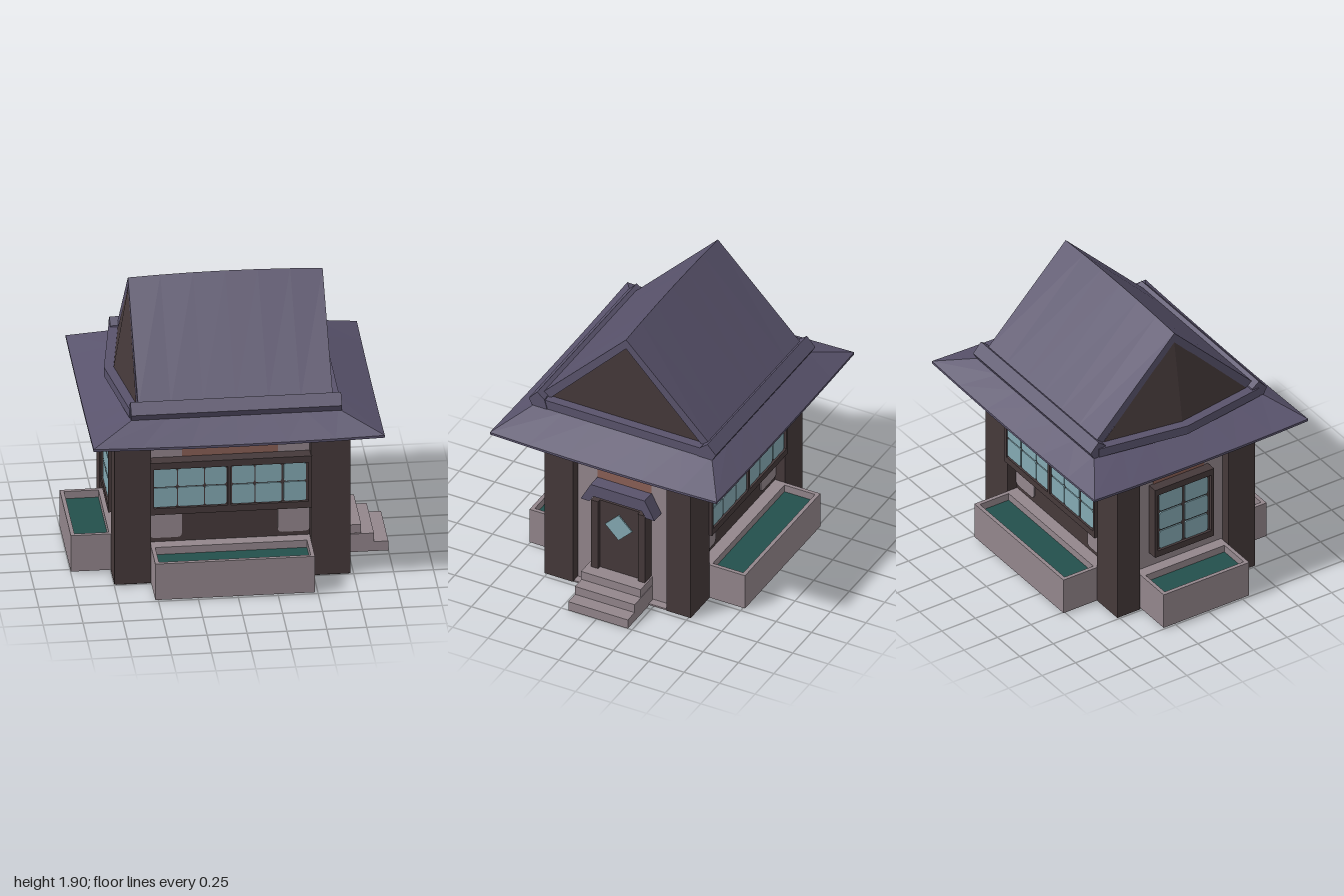
import * as THREE from 'three';

const mat = (name, color) => {
  const m = new THREE.MeshStandardMaterial({ color, flatShading: true });
  m.name = name;
  return m;
};

export function createModel() {
  const root = new THREE.Group();
  root.name = 'house';
  const timber = mat('dark timber', 0x45393a);
  const plaster = mat('pale plaster', 0x93868c);
  const brick = mat('clay panel', 0x8a6056);
  const roofing = mat('roof purple', 0x59536c);
  const glass = mat('window glass', 0x84a9b3);
  const soil = mat('planter green', 0x23504c);

  const add = (parent, name, geo, material) => {
    const m = new THREE.Mesh(geo, material);
    m.name = name;
    parent.add(m);
    return m;
  };
  // Box given by its limits on each axis
  const box = (parent, name, material, x0, x1, y0, y1, z0, z1) => {
    const g = new THREE.BoxGeometry(x1 - x0, y1 - y0, z1 - z0);
    g.translate((x0 + x1) / 2, (y0 + y1) / 2, (z0 + z1) / 2);
    return add(parent, name, g, material);
  };
  const polygon = (pts) => new THREE.Shape(pts.map(([x, y]) => new THREE.Vector2(x, y)));
  const extrude = (shape, depth, steps = 1) =>
    new THREE.ExtrudeGeometry(shape, { depth, steps, bevelEnabled: false, curveSegments: 3 });
  // Thin plate with rounded corners, facing +z
  const plate = (parent, name, material, cx, cy, w, h, z, r = 0.015) => {
    const a = w / 2, b = h / 2, s = new THREE.Shape();
    s.moveTo(-a + r, -b);
    s.lineTo(a - r, -b); s.quadraticCurveTo(a, -b, a, -b + r);
    s.lineTo(a, b - r); s.quadraticCurveTo(a, b, a - r, b);
    s.lineTo(-a + r, b); s.quadraticCurveTo(-a, b, -a, b - r);
    s.lineTo(-a, -b + r); s.quadraticCurveTo(-a, -b, -a + r, -b);
    return add(parent, name, extrude(s, 0.008), material).position.set(cx, cy, z);
  };
  // Wall group: local x runs along the wall, local z points outwards
  const wall = (name, x, z, turn) => {
    const g = new THREE.Group();
    g.name = name;
    g.position.set(x, 0, z);
    g.rotation.y = turn;
    root.add(g);
    return g;
  };
  // Framed window with columns given as [left, right] and rows as [bottom, top]
  const windowUnit = (parent, w, y0, y1, depth, cols, rows) => {
    const g = new THREE.Group();
    g.name = 'window';
    parent.add(g);
    const a = w / 2, d = depth, e = depth - 0.018;
    box(g, 'windowBack', timber, -a + 0.005, a - 0.005, y0 + 0.005, y1 - 0.005, -0.01, e);
    box(g, 'topFrame', timber, -a, a, y1 - 0.045, y1, -0.01, d);
    box(g, 'bottomFrame', timber, -a, a, y0, y0 + 0.045, -0.01, d);
    for (const s of [-1, 1])
      box(g, 'sideFrame', timber, s * (a - 0.01) - 0.01, s * (a - 0.01) + 0.01, y0, y1, -0.01, d);
    for (const [l, r] of cols)
      for (const [b, t] of rows)
        plate(g, 'pane', glass, (l + r) / 2, (b + t) / 2, r - l, t - b, e);
    return g;
  };
  // Open planter standing against a wall
  const planter = (parent, w, depth) => {
    const g = new THREE.Group();
    g.name = 'planter';
    parent.add(g);
    const a = w / 2, t = 0.025;
    box(g, 'planterFront', plaster, -a, a, 0.01, 0.26, depth - t, depth);
    box(g, 'planterBack', plaster, -a, a, 0.01, 0.26, 0, 0.08);
    for (const s of [-1, 1])
      box(g, 'planterEnd', plaster, s * (a - t / 2) - t / 2, s * (a - t / 2) + t / 2, 0.01, 0.26, 0.08, depth - t);
    box(g, 'planterSoil', soil, -a + t, a - t, 0.012, 0.21, 0.08, depth - t);
  };

  // Body, floor and corner posts
  box(root, 'floorSlab', plaster, -0.74, 0.72, 0.004, 0.015, -0.51, 0.5);
  box(root, 'wallCore', timber, -0.68, 0.66, 0.012, 1.1, -0.45, 0.44);
  for (const [x0, x1] of [[-0.75, -0.52], [0.48, 0.73]])
    for (const [z0, z1] of [[0.31, 0.51], [-0.52, -0.35]])
      box(root, 'cornerPost', timber, x0, x1, 0.01, 1.1, z0, z1);
  box(root, 'topBeam', timber, -0.745, 0.725, 0.99, 1.1, -0.515, 0.505);

  // Long walls, front and back
  const longCols = [[-0.49, -0.34], [-0.333, -0.17], [-0.163, -0.03], [0.005, 0.145], [0.152, 0.315], [0.33, 0.47]];
  for (const [name, z, turn, depth] of [['frontWall', 0.44, 0, 0.31], ['backWall', -0.45, Math.PI, 0.32]]) {
    const g = wall(name, -0.02, z, turn);
    for (const s of [-1, 1])
      plate(g, 'plasterPanel', plaster, s * 0.4, 0.64, 0.2, 0.7, 0, 0.03);
    box(g, 'clayPanel', brick, -0.3, 0.3, 0.8, 0.99, -0.005, 0.007);
    const win = windowUnit(g, 1.01, 0.49, 0.85, 0.09, longCols, [[0.54, 0.672], [0.68, 0.8]]);
    box(win, 'centreFrame', timber, -0.022, -0.003, 0.49, 0.85, 0, 0.09);
    planter(g, 1, depth);
  }

  // Short walls share plaster and clay panels
  const doorWall = wall('doorWall', 0.66, -0.02, Math.PI / 2);
  const leftWall = wall('leftWall', -0.68, -0.02, -Math.PI / 2);
  for (const g of [doorWall, leftWall]) {
    box(g, 'plasterPanel', plaster, -0.33, 0.33, 0.012, 0.99, -0.005, 0.006);
    box(g, 'clayPanel', brick, -0.19, 0.19, 0.75, 0.99, 0, 0.01);
  }
  windowUnit(leftWall, 0.44, 0.36, 0.87, 0.075,
    [[-0.18, -0.01], [0.01, 0.18]], [[0.41, 0.54], [0.55, 0.68], [0.69, 0.82]]);
  planter(leftWall, 0.64, 0.32);

  // Door with jambs, diamond pane and small awning
  for (const s of [-1, 1])
    box(doorWall, 'doorJamb', timber, s * 0.165 - 0.025, s * 0.165 + 0.025, 0.15, 0.7, 0, 0.095);
  box(doorWall, 'door', timber, -0.14, 0.14, 0.15, 0.7, 0, 0.07);
  const diamond = polygon([[0, -0.095], [0.095, 0], [0, 0.095], [-0.095, 0]]);
  add(doorWall, 'doorPane', extrude(diamond, 0.008), glass).position.set(-0.005, 0.535, 0.07);
  const awning = polygon([[-0.26, 0.69], [-0.2, 0.69], [-0.17, 0.735], [0.17, 0.735], [0.2, 0.69], [0.26, 0.69], [0.19, 0.82], [-0.19, 0.82]]);
  add(doorWall, 'awning', extrude(awning, 0.1), roofing);

  // Entrance steps
  [[0.83, 0.19, 0.13], [0.91, 0.125, 0.065], [1, 0.065, 0]].forEach(([x, top, low]) =>
    box(root, 'step', plaster, 0.67, x, low, top, -0.22, 0.2));

  // Flared lower roof: a box pulled in at the top, eaves dipping mid-side
  const skirt = new THREE.BoxGeometry(2, 2, 2, 6, 2, 6);
  const p = skirt.attributes.position;
  for (let i = 0; i < p.count; i++) {
    const x = p.getX(i), y = p.getY(i), z = p.getZ(i);
    const top = y > 0.5;
    const dip = 0.014 * (1 - Math.min(Math.abs(x), Math.abs(z)) ** 2);
    p.setXYZ(i, x * (top ? 0.64 : 0.912), top ? 1.215 : (y < -0.5 ? 1.088 : 1.104) - dip, z * (top ? 0.62 : 0.8));
  }
  add(root, 'lowerRoof', skirt, roofing);

  // Upper gable roof, ridge slightly raised in the middle
  const chevron = polygon([[-0.6, 1.28], [-0.53, 1.27], [0, 1.82], [0.53, 1.27], [0.6, 1.28], [0, 1.888]]);
  const gable = extrude(chevron, 1.22, 6);
  gable.translate(0, 0, -0.61).rotateY(Math.PI / 2);
  const q = gable.attributes.position;
  for (let i = 0; i < q.count; i++)
    if (q.getY(i) > 1.85) q.setY(i, q.getY(i) + 0.016 * (1 - (q.getX(i) / 0.61) ** 2));
  add(root, 'gableRoof', gable, roofing);

  // Upturned eave lips along both long sides
  for (const s of [-1, 1]) {
    const lip = polygon([[0.53, 1.21], [0.635, 1.21], [0.66, 1.255], [0.6, 1.32], [0.55, 1.28]].map(([a, b]) => [s * a, b]));
    const g = extrude(lip, 1.32).translate(0, 0, -0.66).rotateY(Math.PI / 2);
    add(root, 'eaveLip', g, roofing);
  }

  // Gable ends: flat on the right, folded outwards on the left
  const tri = (...pts) => {
    const g = new THREE.BufferGeometry();
    g.setAttribute('position', new THREE.Float32BufferAttribute(pts.flat(), 3));
    g.computeVertexNormals();
    return g;
  };
  add(root, 'rightGable', tri([0.595, 1.83, 0], [0.595, 1.26, 0.545], [0.595, 1.26, -0.545],
  ).scale(1, 1, 1), timber);
  const apex = [-0.608, 1.825, 0], mid = [-0.7, 1.265, 0];
  add(root, 'leftGable', tri(apex, [-0.615, 1.265, -0.54], mid, apex, mid, [-0.615, 1.265, 0.54]), timber);
  box(root, 'rightGableTrim', roofing, 0.56, 0.655, 1.21, 1.272, -0.62, 0.62);
  const trim = polygon([[-0.56, -0.6], [-0.56, 0.6], [-0.665, 0.6], [-0.76, 0], [-0.665, -0.6]]);
  add(root, 'leftGableTrim', extrude(trim, 0.062).rotateX(-Math.PI / 2).translate(0, 1.21, 0), roofing);

  return root;
}
